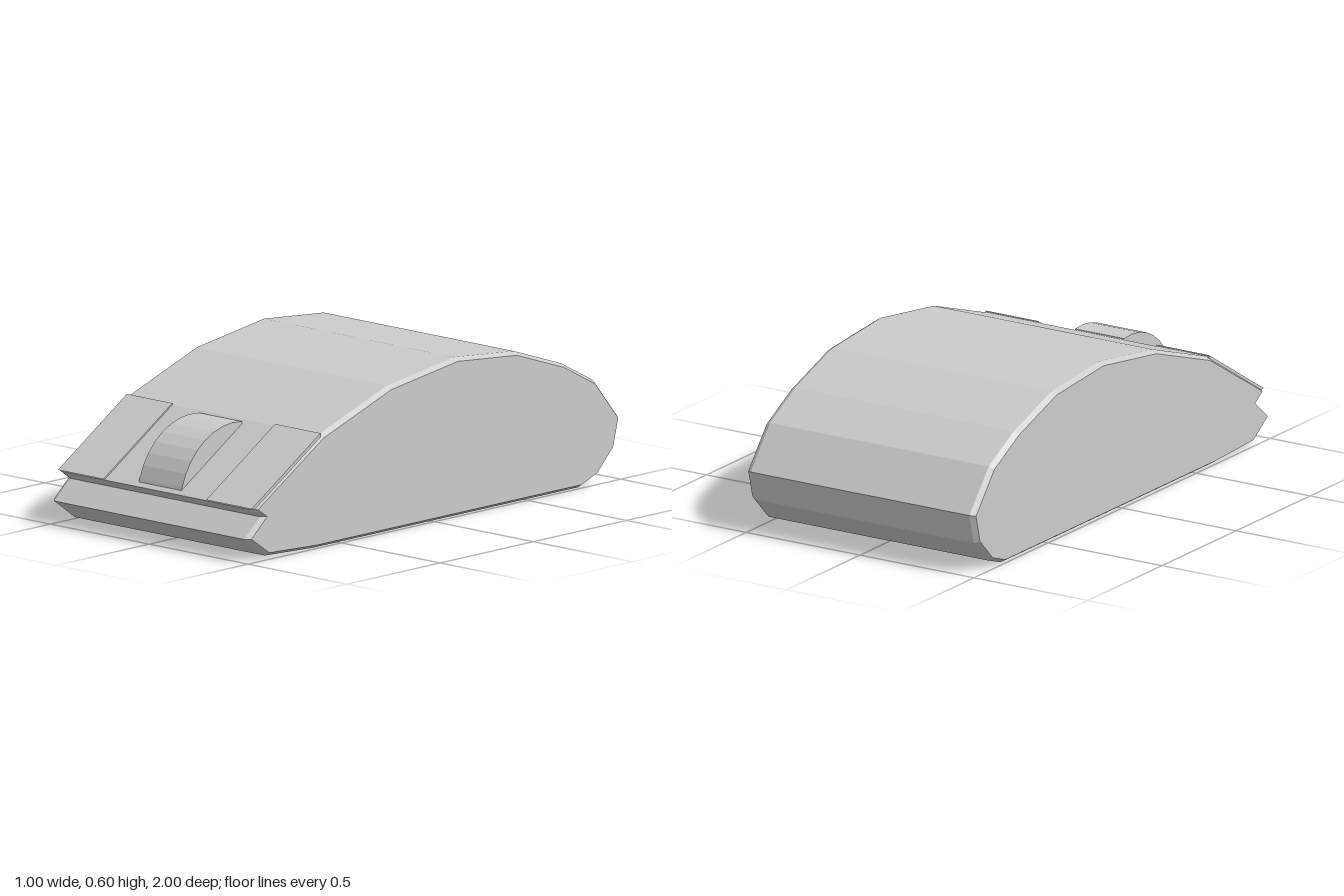
import * as THREE from 'three';

const material = new THREE.MeshStandardMaterial({ color: 0xcccccc, flatShading: true });

// Extrudes a side profile of [z, y] points across the width, centred on x
function slab(name, points, width, x = 0, bevel = 0) {
  const shape = new THREE.Shape(points.map(([z, y]) => new THREE.Vector2(z, y)));
  const thickness = bevel ? 0.02 : 0;
  const depth = width - 2 * thickness;
  const geometry = new THREE.ExtrudeGeometry(shape, {
    depth,
    bevelEnabled: bevel > 0,
    bevelSize: bevel,
    bevelOffset: -bevel,
    bevelThickness: thickness,
    bevelSegments: 1,
  });
  geometry.translate(0, 0, -depth / 2);
  geometry.rotateY(-Math.PI / 2);
  const mesh = new THREE.Mesh(geometry, material);
  mesh.name = name;
  mesh.position.x = x;
  return mesh;
}

export function createModel() {
  const group = new THREE.Group();
  group.name = 'computerMouse';

  // Arched shell with a notch under the front lip and chamfered sides
  group.add(slab('body', [
    [-0.79, 0.003], [0.63, 0.003], [0.89, 0.015], [1.0, 0.093],
    [0.915, 0.165], [0.965, 0.2], [0.6, 0.425], [0.235, 0.55],
    [-0.125, 0.6], [-0.445, 0.572], [-0.7, 0.485], [-0.87, 0.395],
    [-1.0, 0.24], [-0.97, 0.125], [-0.88, 0.035],
  ], 1, 0, 0.013));

  // Thin click buttons lying on the front slope
  const buttonProfile = [[0.95, 0.2], [0.97, 0.204], [0.6, 0.431], [0.6, 0.41]];
  for (const side of [-1, 1]) {
    group.add(slab(side > 0 ? 'leftButton' : 'rightButton', buttonProfile, 0.23, side * 0.375));
  }

  // Exposed part of the scroll wheel, cut off beneath the slope
  const wheel = [[0.6, 0.38], [0.93, 0.211], [0.945, 0.211]];
  for (let i = 0; i <= 8; i++) {
    const a = THREE.MathUtils.degToRad(18 + i * 10.1);
    wheel.push([0.665 + 0.29 * Math.cos(a), 0.135 + 0.29 * Math.sin(a)]);
  }
  wheel.push([0.62, 0.415]);
  group.add(slab('scrollWheel', wheel, 0.216, 0.003));

  return group;
}
